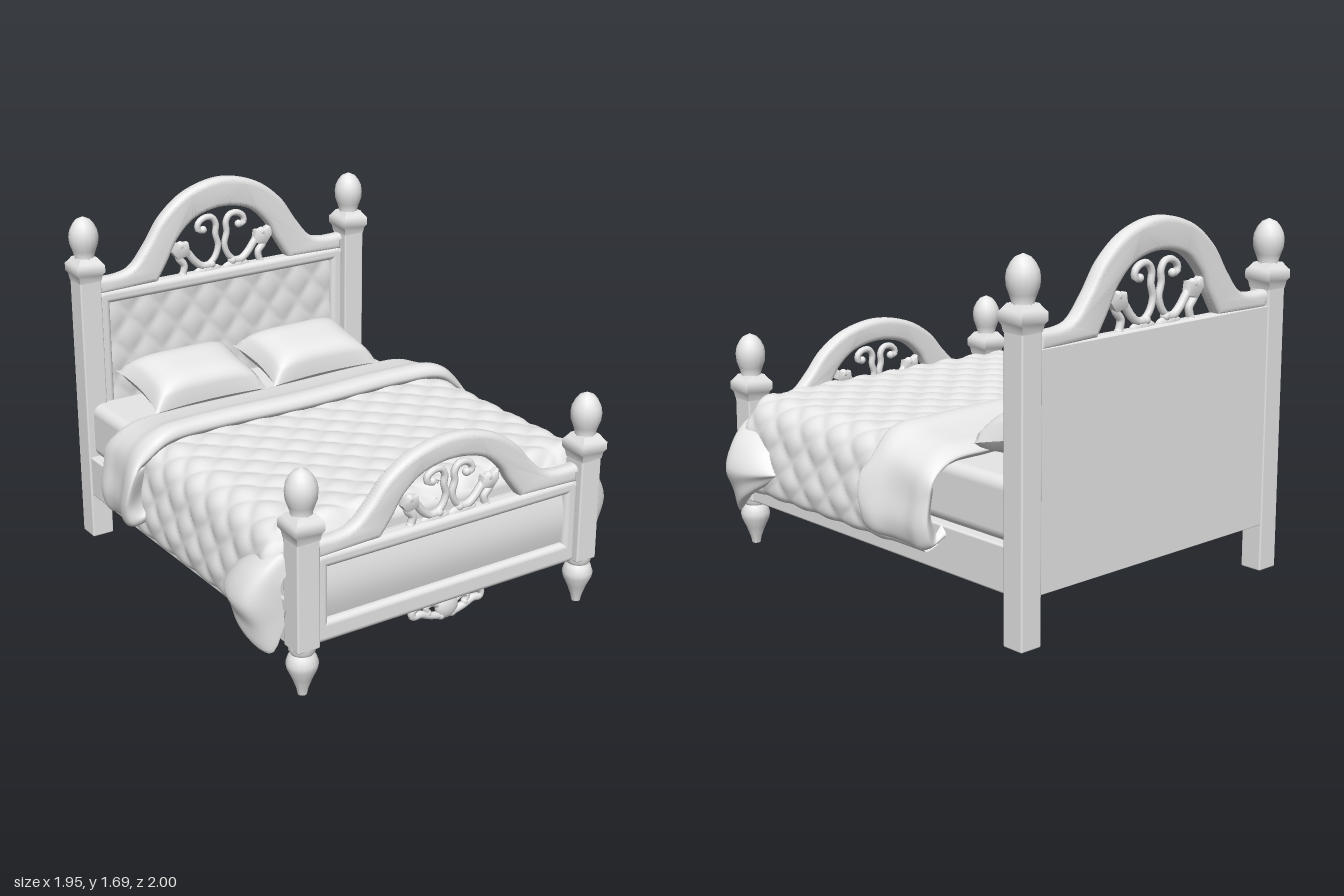
import * as THREE from 'three';
import { mergeVertices, toCreasedNormals } from 'three/addons/utils/BufferGeometryUtils.js';
import { RoundedBoxGeometry } from 'three/addons/geometries/RoundedBoxGeometry.js';

const paleGrey = new THREE.MeshStandardMaterial({ color: 0xfafafa, side: THREE.DoubleSide });
paleGrey.name = 'paleGrey';

const V = (x, y, z = 0) => new THREE.Vector3(x, y, z);

function add(parent, name, geometry, x = 0, y = 0, z = 0) {
  const mesh = new THREE.Mesh(geometry, paleGrey);
  mesh.name = name;
  mesh.position.set(x, y, z);
  parent.add(mesh);
  return mesh;
}

// Box given by its limits
function block(parent, name, x0, x1, y0, y1, z0, z1, r = 0.01) {
  const g = new RoundedBoxGeometry(x1 - x0, y1 - y0, z1 - z0, 3, r);
  return add(parent, name, g, (x0 + x1) / 2, (y0 + y1) / 2, (z0 + z1) / 2);
}

// Smooth sheet from a rule giving a point for u, v in 0..1
function sheet(nu, nv, rule) {
  const pos = [], index = [];
  for (let j = 0; j <= nv; j++)
    for (let i = 0; i <= nu; i++) pos.push(...rule(i / nu, j / nv).toArray());
  for (let j = 0; j < nv; j++)
    for (let i = 0; i < nu; i++) {
      const a = j * (nu + 1) + i, b = a + nu + 1;
      index.push(a, a + 1, b, a + 1, b + 1, b);
    }
  let g = new THREE.BufferGeometry();
  g.setAttribute('position', new THREE.Float32BufferAttribute(pos, 3));
  g.setIndex(index);
  g = mergeVertices(g, 1e-4);
  g.computeVertexNormals();
  return g;
}

function lathe(profile, sides) {
  const g = new THREE.LatheGeometry(profile.map(([r, y]) => new THREE.Vector2(r, y)), sides);
  return toCreasedNormals(g, 0.7);
}

// Half of a symmetric profile is mirrored to run from +x to -x
const mirrored = (half) => [...half, ...half.slice(0, -1).reverse().map(([x, y]) => [-x, y])];
const vec2 = (list) => list.map(([x, y]) => new THREE.Vector2(x, y));

// Square post with collar and acorn finial; base is the bottom of the square part
function post(parent, name, x, z, base, top) {
  const group = new THREE.Group();
  group.name = name;
  group.position.set(x, 0, z);
  parent.add(group);
  block(group, 'postShaft', -0.055, 0.055, base, top, -0.055, 0.055, 0.008);
  const collar = lathe([[0.055, -0.03], [0.06, 0], [0.07, 0.015], [0.07, 0.05], [0.058, 0.065], [0.045, 0.085], [0, 0.085]]
    .map(([r, y]) => [r * Math.SQRT2, y]), 4);
  collar.rotateY(Math.PI / 4);
  add(group, 'postCollar', collar, 0, top, 0);
  add(group, 'finial', lathe([[0.05, 0.07], [0.046, 0.09], [0.056, 0.12], [0.067, 0.15], [0.07, 0.185], [0.065, 0.215],
    [0.05, 0.245], [0.033, 0.265], [0, 0.28]], 16), 0, top, 0);
  if (base > 0)
    add(group, 'turnedFoot', lathe([[0, 0], [0.02, 0], [0.026, 0.03], [0.045, 0.08], [0.066, 0.125], [0.07, 0.15],
      [0.06, 0.18], [0.05, 0.195], [0.058, 0.21], [0.058, 0.23]], 16));
}

// Moulded shoulder rail rising into an open arch
function arch(parent, shoulder, rise, base, innerRise, z0, z1) {
  const outer = mirrored([[0.69, 0], [0.58, 0], [0.5, 0.07], [0.42, 0.31], [0.33, 0.63], [0.19, 0.89], [0, 1]])
    .map(([x, f]) => [x, shoulder + f * rise]);
  const inner = mirrored([[0.37, 0], [0.31, 0.3], [0.25, 0.63], [0.15, 0.9], [0, 1]])
    .map(([x, f]) => [-x, base + f * innerRise]);
  const s = new THREE.Shape();
  s.moveTo(...outer[0]);
  s.splineThru(vec2(outer.slice(1)));
  s.lineTo(-0.69, base - 0.01);
  s.lineTo(...inner[0]);
  s.splineThru(vec2(inner.slice(1)));
  s.lineTo(0.69, base - 0.01);
  const b = 0.026;
  const g = new THREE.ExtrudeGeometry(s, { depth: z1 - z0 - 2 * b, curveSegments: 36, bevelThickness: b, bevelSize: b,
    bevelOffset: -b, bevelSegments: 4 });
  add(parent, 'archedRail', toCreasedNormals(g, 0.7), 0, 0, z0 + b);
}

function tube(parent, name, points, r, z) {
  const pts = points.map(([x, y]) => V(x, y, z));
  add(parent, name, new THREE.TubeGeometry(new THREE.CatmullRomCurve3(pts), 28, r, 8));
  for (const p of [pts[0], pts[pts.length - 1]])
    add(parent, name + 'End', new THREE.SphereGeometry(r * 1.2, 10, 8), p.x, p.y, p.z);
}

// Pair of heart scrolls with leaves inside an arch
function scrolls(parent, base, k, z) {
  for (const s of [1, -1]) {
    const at = (list) => list.map(([x, y]) => [s * x * (0.4 + 0.6 * k), base + y * k]);
    tube(parent, 'heartScroll', at([[0.1, 0.01], [0.04, 0.06], [0.018, 0.12], [0.032, 0.18], [0.028, 0.23], [0.05, 0.265],
      [0.095, 0.268], [0.13, 0.24], [0.125, 0.21], [0.1, 0.21]]), 0.016, z);
    tube(parent, 'sideScroll', at([[0.06, 0.03], [0.11, 0.03], [0.15, 0.06], [0.19, 0.11], [0.23, 0.15]]), 0.019, z);
    tube(parent, 'lowerScroll', at([[0.24, 0.14], [0.24, 0.09], [0.21, 0.05], [0.22, 0.0]]), 0.018, z);
    // Leaf blade
    const leaf = new THREE.Shape(vec2(at([[0.18, 0.1], [0.25, 0.085], [0.285, 0.13], [0.28, 0.185], [0.245, 0.165], [0.19, 0.165]])));
    const blade = new THREE.ExtrudeGeometry(leaf, { depth: 0.02, bevelThickness: 0.01, bevelSize: 0.006, bevelOffset: -0.006, bevelSegments: 2 });
    add(parent, 'leaf', toCreasedNormals(blade, 0.7), 0, 0, z - 0.01);
    const [[mx]] = at([[0.08, 0]]);
    add(parent, 'scrollMound', new THREE.SphereGeometry(0.08, 14, 8), mx, base, z).scale.set(1, 0.4, 0.25);
  }
}

function board(parent, name, o) {
  const g = new THREE.Group();
  g.name = name;
  parent.add(g);
  block(g, 'boardPanel', -0.7, 0.7, 0.22, o.base, o.back, o.back + 0.035, 0.004);
  block(g, 'topRail', -0.69, 0.69, o.base - 0.06, o.base + 0.005, o.back, o.front, 0.025);
  block(g, 'bottomRail', -0.69, 0.69, 0.22, 0.32, o.back, o.front, 0.025);
  for (const s of [1, -1]) block(g, 'stile', s * 0.665 - 0.035, s * 0.665 + 0.035, 0.22, o.base, o.back, o.front, 0.025);
  arch(g, o.shoulder, o.rise, o.base, o.innerRise, o.back, o.front);
  scrolls(g, o.base, o.innerRise / 0.315, (o.back + o.front) / 2);
  return g;
}

// Cross-section curve of bedding lying over the bed
const overBed = (half) => new THREE.CatmullRomCurve3(mirrored(half).map(([x, y]) => V(x, y)), false, 'centripetal');

export function createModel() {
  const bed = new THREE.Group();
  bed.name = 'bed';

  for (const s of [1, -1]) {
    post(bed, 'headPost', s * 0.745, -0.93, 0, 1.33);
    post(bed, 'footPost', s * 0.745, 0.93, 0.22, 0.74);
    block(bed, 'sideRail', s * 0.76 - 0.03, s * 0.76 + 0.03, 0.22, 0.425, -0.92, 0.92);
  }

  // Headboard with a tufted panel
  const head = board(bed, 'headboard', { shoulder: 1.3, rise: 0.39, base: 1.23, innerRise: 0.315, back: -0.98, front: -0.905 });
  add(head, 'tuftedPanel', sheet(80, 40, (u, v) => {
    const x = (u - 0.5) * 1.28, y = 0.6 + v * 0.59;
    const h = Math.abs(Math.sin((x + y * 0.8) * 18) * Math.sin((x - y * 0.8) * 18));
    return V(x, y, -0.935 + 0.012 * h ** 0.7);
  }));

  // Footboard with a curved panel and a carved drop below
  const foot = board(bed, 'footboard', { shoulder: 0.69, rise: 0.305, base: 0.62, innerRise: 0.265, back: 0.885, front: 0.96 });
  add(foot, 'curvedPanel', sheet(2, 12, (u, v) => V((u - 0.5) * 1.28, 0.31 + v * 0.26, 0.925 + 0.02 * Math.sin(v * Math.PI))));
  for (const s of [1, -1]) {
    const at = (list) => list.map(([x, y]) => [s * x, y]);
    tube(foot, 'dropScroll', at([[0.03, 0.15], [0.09, 0.165], [0.14, 0.185], [0.18, 0.185], [0.185, 0.21], [0.15, 0.23]]), 0.018, 0.925);
    tube(foot, 'dropScroll', at([[0.04, 0.2], [0.08, 0.22], [0.11, 0.21], [0.1, 0.18]]), 0.015, 0.925);
  }
  add(foot, 'carvedDrop', new THREE.SphereGeometry(0.06, 14, 10), 0, 0.19, 0.925).scale.set(1, 1, 0.5);

  // Slatless base, recessed above the rails, and mattress
  block(bed, 'bedBase', -0.74, 0.74, 0.415, 0.45, -0.95, 0.9, 0.004);
  block(bed, 'mattress', -0.765, 0.765, 0.42, 0.69, -0.93, 0.87, 0.05);

  // Quilted cover, padded in diamonds
  const quiltCurve = overBed([[0.79, 0.335], [0.865, 0.318], [0.878, 0.4], [0.86, 0.53], [0.83, 0.66], [0.76, 0.725], [0.6, 0.738], [0, 0.74]]);
  quiltCurve.arcLengthDivisions = 400;
  const length = quiltCurve.getLength();
  add(bed, 'quilt', sheet(170, 100, (u, v) => {
    const p = quiltCurve.getPointAt(u), t = quiltCurve.getTangentAt(u);
    const z = -0.47 + v * 1.35, d = (u - 0.5) * length;
    const h = Math.abs(Math.sin((d + z) * 17) * Math.sin((d - z) * 17)) ** 0.7;
    const end = Math.max(0, (v - 0.94) / 0.06) ** 2;
    const under = Math.max(0, Math.min(1, (-0.2 - z) / 0.1));
    const pad = 0.016 * h * Math.min(1, 16 * u, 16 * (1 - u)) * (1 - under);
    const drop = p.y > 0.6 ? 0.06 * end + 0.02 * under : 0;
    return V(p.x + t.y * pad - 0.06 * end * Math.sign(p.x), p.y - t.x * pad - drop, z);
  }));

  // Turned-back fold: stations of z, top height, side reach, hem height
  const folds = [[-0.5, 0.69, 0.86, 0.4], [-0.53, 0.715, 0.905, 0.36], [-0.48, 0.75, 0.925, 0.335], [-0.4, 0.765, 0.92, 0.34],
    [-0.3, 0.785, 0.935, 0.35], [-0.22, 0.81, 0.965, 0.36], [-0.165, 0.8, 0.97, 0.385], [-0.15, 0.765, 0.95, 0.42], [-0.18, 0.73, 0.88, 0.45]];
  const foldRows = folds.map(([z, top, reach, hem]) => ({ z, curve: overBed([[0.8, hem + 0.03], [reach - 0.03, hem], [reach, hem + 0.08],
    [reach - 0.015, hem + 0.2], [0.875, top - 0.09], [0.77, top - 0.015], [0.55, top], [0, top]]) }));
  add(bed, 'turnedBackFold', sheet(90, 40, (u, v) => {
    const line = new THREE.CatmullRomCurve3(foldRows.map((r) => {
      const p = r.curve.getPoint(u);
      return V(p.x, p.y, r.z + 0.008 * Math.sin(u * 41) * (r.z > -0.3 ? 1 : 0.4));
    }));
    return line.getPoint(v);
  }));

  // Bunched cover corners beside the foot posts: z, top, outer reach, tip x, tip y
  const bunches = [[0.565, 0.45, 0.885, 0.87, 0.42], [0.62, 0.53, 0.93, 0.89, 0.38], [0.68, 0.58, 0.96, 0.92, 0.34],
    [0.76, 0.615, 0.975, 0.93, 0.28], [0.84, 0.63, 0.965, 0.89, 0.21], [0.88, 0.63, 0.91, 0.86, 0.2], [0.9, 0.55, 0.82, 0.81, 0.32]];
  for (const s of [1, -1]) {
    const rows = bunches.map(([z, top, reach, tipX, tipY]) => {
      const mid = 0.43;
      return [z, new THREE.CatmullRomCurve3([V(0.79, top), V((0.79 + reach) / 2 + 0.02, top - 0.3 * (top - mid)),
        V(reach, mid), V((reach + tipX) / 2, (mid + tipY) / 2), V(tipX, tipY), V(0.81, (mid + tipY) / 2), V(0.78, mid)], true, 'centripetal')];
    });
    add(bed, 'bunchedCorner', sheet(36, 20, (u, v) => new THREE.CatmullRomCurve3(rows.map(([z, c]) => {
      const q = c.getPoint(u);
      return V(s * q.x, q.y, z);
    })).getPoint(v)));
  }

  // Plump pillows with pinched corners, leaning on the headboard
  for (const s of [1, -1]) {
    const pillow = new THREE.Group();
    pillow.name = 'pillow';
    pillow.position.set(s * 0.325, 0.79, -0.69);
    pillow.rotation.x = 0.22;
    bed.add(pillow);
    for (const [name, height] of [['pillowTop', 0.125], ['pillowUnderside', -0.075]])
      add(pillow, name, sheet(24, 20, (u, v) => {
        const a = 2 * u - 1, b = 2 * v - 1;
        const h = Math.pow((1 - a ** 4) * (1 - b ** 4), 0.55);
        return V(a * (0.275 + 0.03 * b * b), height * h, b * (0.185 + 0.02 * a * a));
      }));
  }

  return bed;
}
